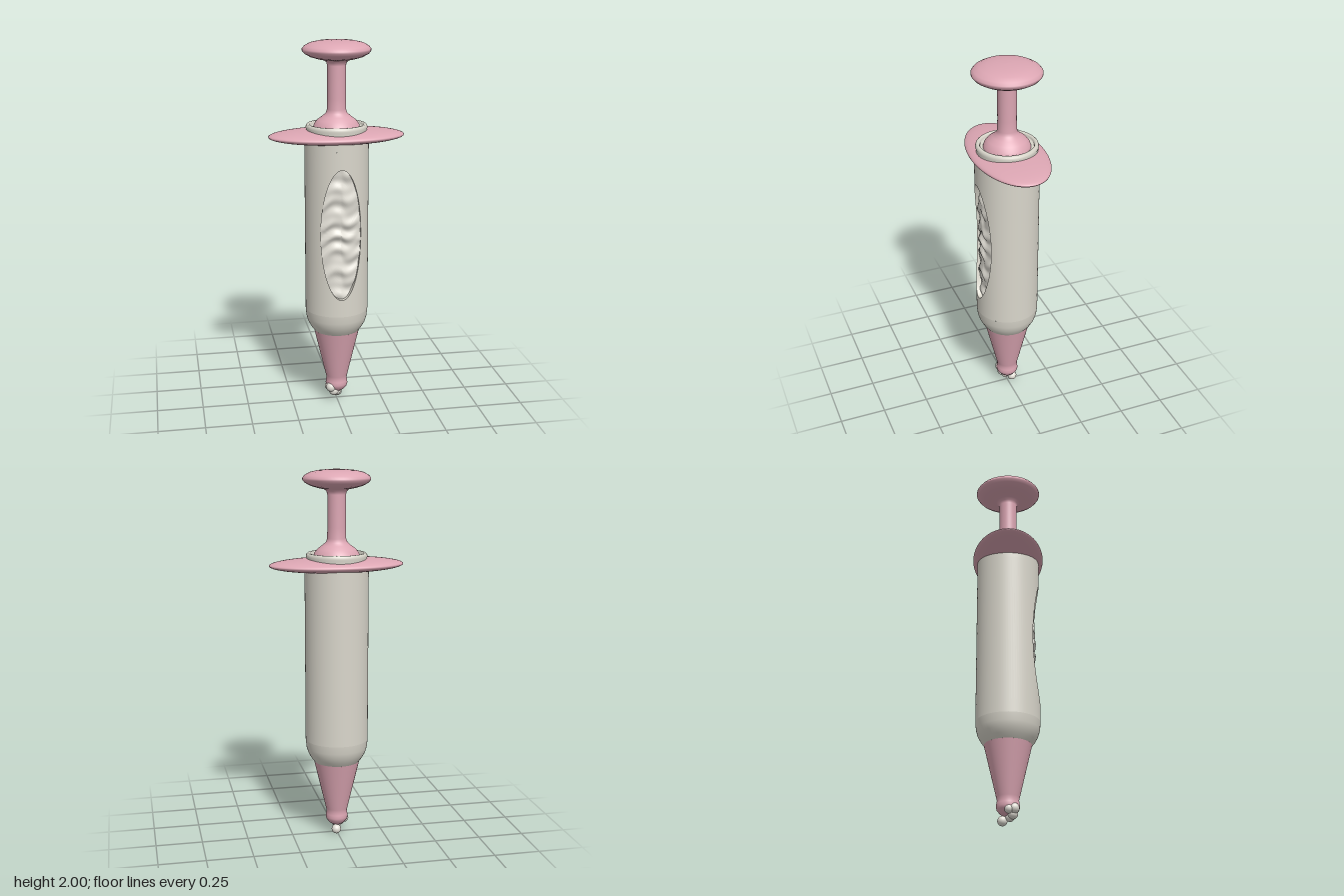
import * as THREE from 'three';

const R = 0.17; // barrel radius
const WIN = { y: 0.995, w: 0.107, h: 0.355 }; // oval window

const pink = new THREE.MeshStandardMaterial({ color: 0xdca6b3 });
pink.name = 'pink';
const cream = new THREE.MeshStandardMaterial({ color: 0xd9d6cb });
cream.name = 'cream';
const icing = new THREE.MeshStandardMaterial({ color: 0xe2dfd6 });
icing.name = 'pale icing';

function add(group, name, geometry, material) {
  const mesh = new THREE.Mesh(geometry, material);
  mesh.name = name;
  group.add(mesh);
  return mesh;
}

function lathe(points, start = 0, length = Math.PI * 2, segments = 64) {
  return new THREE.LatheGeometry(points.map(([r, y]) => new THREE.Vector2(r, y)), segments, start, length);
}

// Closed ring of quads: u runs outward from 0 to 1, t runs round the oval
function ringSurface(rows, cols, fn) {
  const pos = [], idx = [];
  for (let i = 0; i <= rows; i++)
    for (let j = 0; j < cols; j++) pos.push(...fn(i / rows, (j / cols) * Math.PI * 2));
  for (let i = 0; i < rows; i++)
    for (let j = 0; j < cols; j++) {
      const k = (j + 1) % cols;
      const a = i * cols + j, b = a + cols, c = (i + 1) * cols + k, d = i * cols + k;
      idx.push(a, b, c, a, c, d);
    }
  const g = new THREE.BufferGeometry();
  g.setAttribute('position', new THREE.Float32BufferAttribute(pos, 3));
  g.setIndex(idx);
  g.computeVertexNormals();
  return g;
}

function createBarrel() {
  const barrel = new THREE.Group();
  barrel.name = 'barrel';
  const half = 1.0, tall = 0.45;
  const y0 = WIN.y - tall, y1 = WIN.y + tall;

  // Rounded shoulder, back wall and upper band
  add(barrel, 'barrelShoulder', lathe([[0, 0.42], [0.124, 0.42], [0.125, 0.421], [0.142, 0.444], [0.157, 0.472], [0.166, 0.503], [R, y0]]), cream);
  add(barrel, 'barrelBack', lathe([[R, y0], [R, y1]], half, Math.PI * 2 - half * 2, 56), cream);
  add(barrel, 'barrelTop', lathe([[R, y1], [R, 1.5]]), cream);

  // Front wall, bent round the barrel with an oval opening
  const front = ringSurface(10, 96, (u, t) => {
    const c = Math.cos(t), s = Math.sin(t), m = Math.max(Math.abs(c), Math.abs(s));
    const a = THREE.MathUtils.lerp(Math.asin((WIN.w * c) / R), (half * c) / m, u);
    const y = WIN.y + THREE.MathUtils.lerp(WIN.h * s, (tall * s) / m, u);
    return [R * Math.sin(a), y, R * Math.cos(a)];
  });
  const p = front.attributes.position, n = front.attributes.normal;
  for (let i = 0; i < p.count; i++) n.setXYZ(i, p.getX(i) / R, 0, p.getZ(i) / R);
  add(barrel, 'barrelFront', front, cream);

  // Thickness of the wall round the opening
  add(barrel, 'windowEdge', ringSurface(1, 96, (u, t) => {
    const x = WIN.w * Math.cos(t);
    return [x, WIN.y + WIN.h * Math.sin(t), Math.sqrt(R * R - x * x) - 0.06 * (1 - u)];
  }), cream);

  // Wrinkled filling behind the opening
  add(barrel, 'windowFilling', ringSurface(28, 96, (u, t) => {
    const x = WIN.w * u * Math.cos(t), y = WIN.y + WIN.h * u * Math.sin(t);
    const side = Math.abs(x);
    const fold = Math.sin(y * 58 + side * 22 + 1.6 * Math.sin(y * 13) + 0.9 * Math.sin(x * 45));
    const ripple = Math.sin(y * 97 - x * 38 + 2 * Math.sin(x * 30));
    const z = 0.121 + 0.02 * (1 - (x / WIN.w) ** 2) + 0.006 * fold + 0.003 * ripple;
    return [x, y, z];
  }), icing);

  // Collar standing above the finger flange
  add(barrel, 'collar', lathe([[0.16, 1.5], [0.16, 1.54], [0.163, 1.548], [0.16, 1.56], [0.153, 1.566], [0.143, 1.565], [0.139, 1.557], [0.138, 1.546], [0, 1.546]]), cream);
  return barrel;
}

export function createModel() {
  const model = new THREE.Group();
  model.name = 'icingSyringe';
  model.add(createBarrel());

  // Oval finger flange
  const flange = add(model, 'fingerFlange', new THREE.SphereGeometry(1, 64, 32), pink);
  flange.scale.set(0.361, 0.039, 0.194);
  flange.position.y = 1.503;

  // Plunger: flared foot, slim rod and domed thumb button
  add(model, 'plunger', lathe([
    [0.124, 1.545], [0.118, 1.566], [0.1, 1.588], [0.075, 1.606], [0.057, 1.622], [0.05, 1.642],
    [0.049, 1.7], [0.049, 1.87], [0.053, 1.886], [0.066, 1.897], [0.1, 1.904], [0.14, 1.916],
    [0.168, 1.932], [0.179, 1.946], [0.179, 1.956], [0.168, 1.97], [0.14, 1.985], [0.1, 1.994], [0.05, 1.999], [0, 2],
  ]), pink);

  // Tapered nozzle with a rounded bead at its end
  add(model, 'nozzle', lathe([
    [0, 0.044], [0.022, 0.047], [0.042, 0.06], [0.057, 0.079], [0.061, 0.094], [0.059, 0.112],
    [0.056, 0.128], [0.06, 0.145], [0.125, 0.422],
  ]), pink);

  // Drops of icing at the tip: x, y, z, radius
  const drops = [
    [0.008, 0.026, -0.028, 0.026], [-0.004, 0.043, 0.01, 0.024],
    [-0.02, 0.055, 0.024, 0.027], [-0.036, 0.08, 0.03, 0.028], [-0.044, 0.075, 0.004, 0.023],
  ];
  for (const [x, y, z, r] of drops)
    add(model, 'icingDrop', new THREE.SphereGeometry(r, 20, 14), icing).position.set(x, y, z);

  return model;
}
